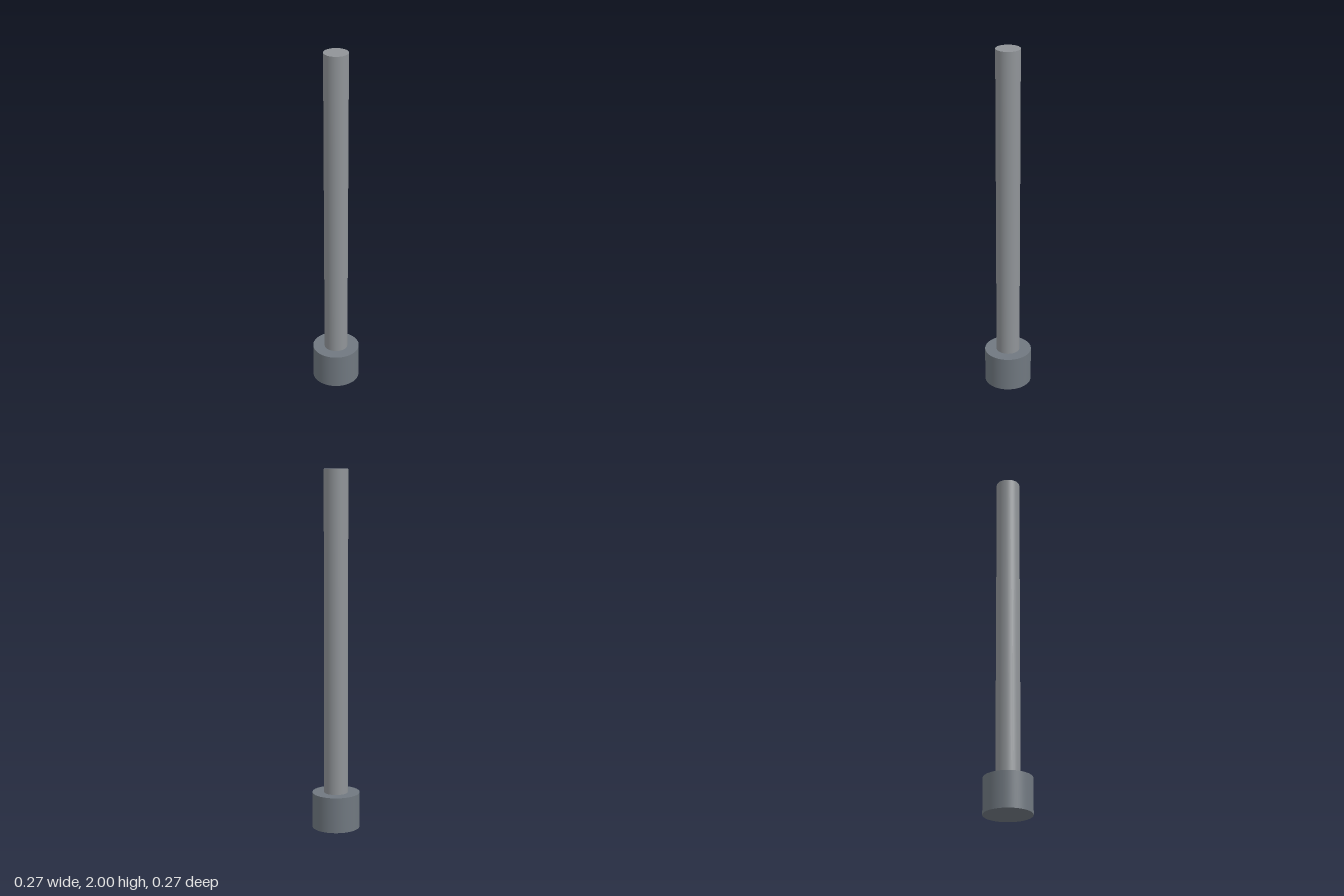
import * as THREE from 'three';

// Upright cylinder spanning y0..y1
function cylinder(name, radius, y0, y1, color) {
  const geometry = new THREE.CylinderGeometry(radius, radius, y1 - y0, 64);
  const mesh = new THREE.Mesh(geometry, new THREE.MeshStandardMaterial({ color }));
  mesh.name = name;
  mesh.position.y = (y0 + y1) / 2;
  return mesh;
}

export function createModel() {
  const model = new THREE.Group();
  model.name = 'headedPin';

  // Wide cylindrical head that the pin stands on
  model.add(cylinder('head', 0.1333, 0, 0.2, 0x707880));

  // Slim shaft, seated inside the head just above its underside
  model.add(cylinder('shaft', 0.0667, 0.01, 2, 0x909498));

  return model;
}
